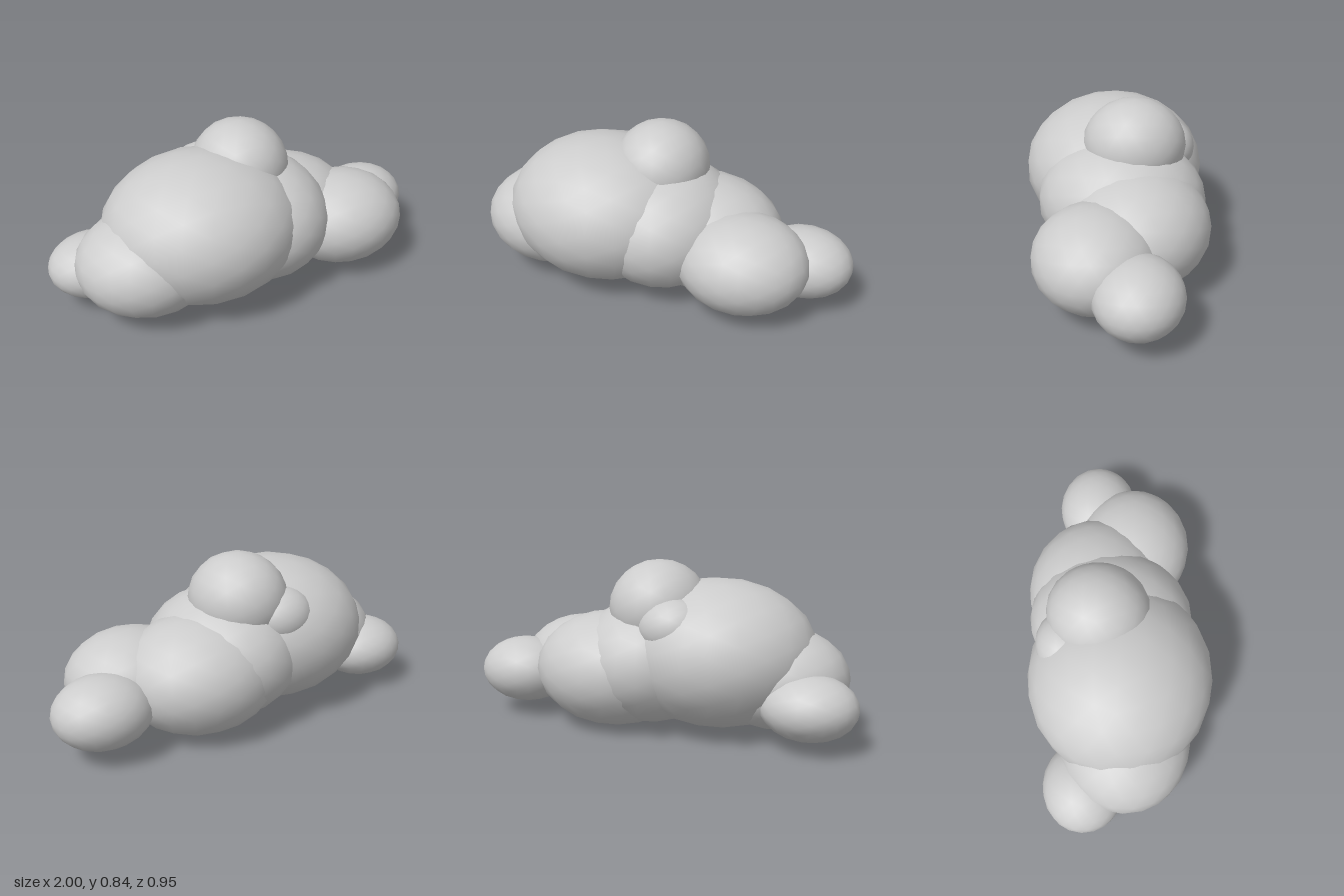
import * as THREE from 'three';

// Cloud made of overlapping squashed balls
export function createModel() {
  const cloud = new THREE.Group();
  cloud.name = 'cloud';
  const cloudGrey = new THREE.MeshStandardMaterial({ color: 0xcccccc });
  cloudGrey.name = 'cloudGrey';
  const ball = new THREE.IcosahedronGeometry(1, 3);

  // name, centre, radii
  const puffs = [
    ['mainPuff', [-0.26, 0.385, 0.015], [0.5, 0.365, 0.46]],
    ['middlePuff', [0.06, 0.337, -0.042], [0.37, 0.318, 0.418]],
    ['backPuff', [0.24, 0.288, -0.12], [0.4, 0.288, 0.36]],
    ['topPuff', [0, 0.61, -0.098], [0.242, 0.23, 0.254]],
    ['smallRearPuff', [-0.14, 0.54, -0.25], [0.17, 0.14, 0.15]],
    ['leftFrontPuff', [0.51, 0.268, 0.06], [0.33, 0.238, 0.298]],
    ['leftEndPuff', [0.76, 0.23, -0.14], [0.24, 0.17, 0.208]],
    ['rightFrontPuff', [-0.56, 0.28, 0.05], [0.35, 0.25, 0.325]],
    ['rightEndPuff', [-0.77, 0.205, -0.145], [0.23, 0.155, 0.205]],
  ];
  for (const [name, centre, radii] of puffs) {
    const puff = new THREE.Mesh(ball, cloudGrey);
    puff.name = name;
    puff.position.set(...centre);
    puff.scale.set(...radii);
    cloud.add(puff);
  }
  return cloud;
}
